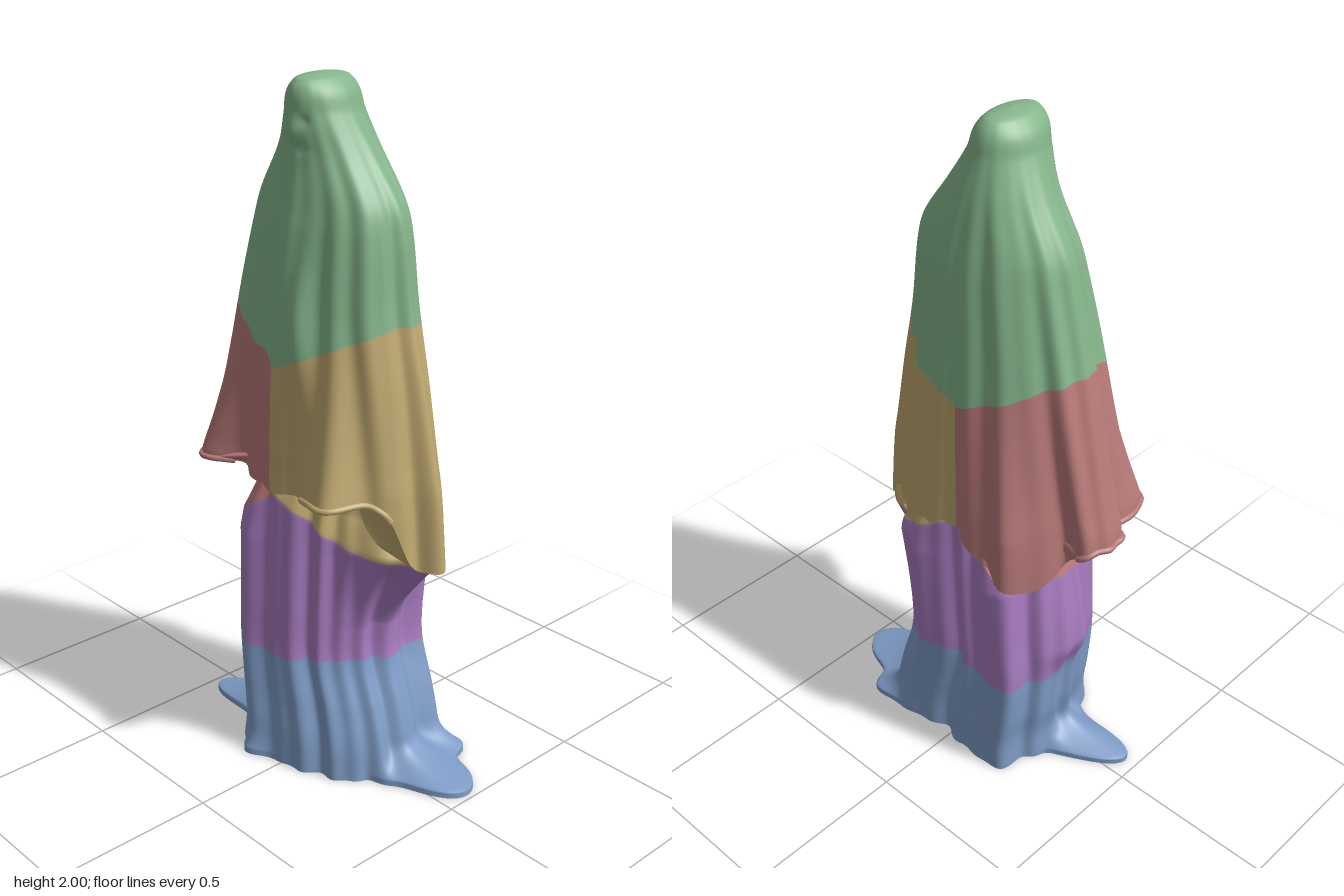
import * as THREE from 'three';

const { PI, sin, cos, exp, abs, min, max, hypot, atan2 } = Math;
const rad = (d) => d * PI / 180;
const clamp01 = (v) => min(1, max(0, v));

// Smooth interpolation through rows [key, v1, v2, ...] sorted by key
function keyed(rows, k, c = 1) {
  const n = rows.length - 1;
  if (k <= rows[0][0]) return rows[0][c];
  if (k >= rows[n][0]) return rows[n][c];
  let i = 0;
  while (k > rows[i + 1][0]) i++;
  const slope = (j) => {
    const p = rows[max(0, j - 1)], q = rows[min(n, j + 1)];
    return (q[c] - p[c]) / (q[0] - p[0]);
  };
  const a = rows[i], b = rows[i + 1], h = b[0] - a[0], t = (k - a[0]) / h;
  const t2 = t * t, t3 = t2 * t;
  return (2 * t3 - 3 * t2 + 1) * a[c] + (t3 - 2 * t2 + t) * h * slope(i)
    + (3 * t2 - 2 * t3) * b[c] + (t3 - t2) * h * slope(i + 1);
}

// Angular bump centred on c degrees, w wide
function bump(a, c, w) {
  const d = atan2(sin(a - rad(c)), cos(a - rad(c))) / rad(w);
  return exp(-d * d);
}
const blob = (x, y, w, h) => exp(-((x / w) ** 2) - ((y / h) ** 2));

// Extents of the cloth by height: y, right x, left x, back z, front z
const CLOAK = [
  [0.65, -0.46, 0.385, -0.24, 0.18], [0.9, -0.44, 0.365, -0.233, 0.178], [1.0, -0.415, 0.345, -0.229, 0.178],
  [1.2, -0.365, 0.305, -0.219, 0.176], [1.4, -0.315, 0.262, -0.203, 0.166], [1.6, -0.266, 0.235, -0.184, 0.142],
  [1.68, -0.242, 0.212, -0.17, 0.128], [1.8, -0.17, 0.13, -0.142, 0.112], [1.9, -0.12, 0.072, -0.113, 0.115],
  [1.95, -0.104, 0.054, -0.102, 0.114], [1.98, -0.08, 0.03, -0.084, 0.1], [1.993, -0.06, 0.008, -0.058, 0.075],
  [2.0, -0.028, -0.028, 0.005, 0.005],
];
const GOWN = [
  [0, -0.26, 0.28, -0.228, 0.195], [0.1, -0.26, 0.268, -0.228, 0.19], [0.2, -0.275, 0.24, -0.228, 0.182],
  [0.35, -0.28, 0.187, -0.229, 0.178], [0.5, -0.272, 0.185, -0.232, 0.178], [0.7, -0.267, 0.195, -0.232, 0.178],
  [0.86, -0.262, 0.205, -0.226, 0.178], [1.1, -0.25, 0.21, -0.205, 0.17],
];
const FOLD = [[0, 0.015], [0.6, 0.017], [1.2, 0.013], [1.6, 0.008], [1.85, 0.0015], [2, 0]];

// Lobes and hollows: centre, width in degrees, depth
const SLEEVE_LOBES = [
  [60, 13, 0.095], [78, 7, -0.015], [15, 7, -0.025], [133, 11, 0.075], [116, 8, -0.025],
  [155, 8, -0.015], [218, 14, -0.03], [243, 9, 0.035], [-40, 16, -0.03],
];
const GOWN_LOBES = [[-48, 19, 0.065], [229, 18, 0.065], [121, 17, 0.058], [45, 16, -0.015]];
const FLOOR_LOBES = [[-9, 18, 0.2], [-36, 14, 0.07], [171, 15, 0.21], [114, 14, 0.02]];
const lobes = (list, a) => list.reduce((sum, [c, w, d]) => sum + d * bump(a, c, w), 0);

// Hem of the cloak by angle in degrees
const HEM = [
  [-90, 0.84], [-60, 0.76], [-35, 0.71], [0, 0.69], [18, 0.72], [33, 0.88], [60, 0.9], [78, 0.875], [92, 0.86],
  [108, 0.86], [120, 0.88], [180, 0.885], [205, 0.87], [230, 0.74], [250, 0.76], [270, 0.84],
];
const hem = (a) => keyed(HEM, a * 180 / PI);
const shoulderSeam = (a) => 1.23 + 0.14 * abs(cos(a));
const gownSeam = (a) => 0.86 - 0.16 * abs(cos(a));
const skirtSeam = (a) => 0.35 + 0.01 * sin(3 * a);

// Hanging folds, shared by all layers
function folds(a, y) {
  return keyed(FOLD, y) * (0.5 * cos(7 * a + 1 + 0.7 * y) + 0.45 * cos(12 * a + 2.3 - 0.9 * y)
    + 0.35 * cos(19 * a + 0.5 + 0.6 * y)) + 0.022 * bump(a, 75, 8) * exp(-(((y - 1.35) / 0.16) ** 2));
}

// Elliptical section pushed outward by a rule
function section(table, a, y, push) {
  const [x0, x1, z0, z1] = [1, 2, 3, 4].map((c) => keyed(table, y, c));
  const rx = (x1 - x0) / 2, rz = (z1 - z0) / 2, c = cos(a), s = sin(a);
  const nx = c * rz, nz = s * rx, l = hypot(nx, nz) || 1;
  const p = push(rx * c, s);
  return new THREE.Vector3((x0 + x1) / 2 + rx * c + p * nx / l, y, (z0 + z1) / 2 + rz * s + p * nz / l);
}

function cloak(a, y) {
  return section(CLOAK, a, y, (dx, s) => {
    let p = folds(a, y) + clamp01((1.4 - y) / 0.5) ** 1.6 * lobes(SLEEVE_LOBES, a);
    // Face pressed through the cloth
    if (s > 0 && y > 1.7) {
      p += 0.01 * blob(dx, y - 1.86, 0.024, 0.032) - 0.005 * blob(dx, y - 1.815, 0.04, 0.015)
        - 0.005 * (blob(dx - 0.036, y - 1.885, 0.014, 0.016) + blob(dx + 0.036, y - 1.885, 0.014, 0.016));
    }
    return p;
  });
}

function gown(a, y) {
  return section(GOWN, a, y, () => {
    const spread = clamp01((0.11 - y) / 0.092) ** 2.5;
    // Swag below the left arm, slack below the right, full corners
    const swag = 0.165 * bump(a, -4, 25) * clamp01((y - 0.46) / 0.25) ** 1.3 * (1 - 0.6 * clamp01((y - 0.72) / 0.15));
    const slack = 0.05 * bump(a, 178, 24) * exp(-(((y - 0.45) / (y < 0.45 ? 0.08 : 0.25)) ** 2));
    const corners = lobes(GOWN_LOBES, a) * clamp01((0.95 - y) / 0.25);
    return folds(a, y) + swag + slack + corners + spread * lobes(FLOOR_LOBES, a)
      - 0.03 * clamp01((y - gownSeam(a)) / 0.1);
  });
}

// Grid over an angle range between two height rules, with normals from the surface itself
function drape(name, color, surface, from, to, low, high, cols, rows, ease = (t) => t) {
  const pos = [], nor = [], idx = [], e = 0.002;
  const a0 = rad(from), a1 = rad(to);
  for (let i = 0; i <= cols; i++) {
    const a = a0 + (a1 - a0) * i / cols, lo = low(a), hi = high(a);
    for (let j = 0; j <= rows; j++) {
      const y = lo + (hi - lo) * ease(j / rows);
      pos.push(...surface(a, y).toArray());
      const da = surface(a + e, y).sub(surface(a - e, y));
      const dy = surface(a, min(2, y + e)).sub(surface(a, max(0, y - e)));
      const n = y > 1.9995 ? new THREE.Vector3(0, 1, 0) : dy.cross(da).normalize();
      nor.push(...n.toArray());
      if (i < cols && j < rows) {
        const p = i * (rows + 1) + j, q = p + rows + 1;
        idx.push(p, p + 1, q, q, p + 1, q + 1);
      }
    }
  }
  const g = new THREE.BufferGeometry();
  g.setAttribute('position', new THREE.Float32BufferAttribute(pos, 3));
  g.setAttribute('normal', new THREE.Float32BufferAttribute(nor, 3));
  g.setIndex(idx);
  return named(name, g, color);
}

function named(name, geometry, color) {
  const m = new THREE.Mesh(geometry, new THREE.MeshStandardMaterial({ color, side: THREE.DoubleSide }));
  m.name = name;
  return m;
}

// Cloth turned under from the hem to the inner layer
function turnUnder(name, color, from, to) {
  const surface = (a, t) => cloak(a, hem(a)).lerp(gown(a, hem(a) + 0.04), t);
  return drape(name, color, surface, from, to, () => 0, () => 1, 90, 4);
}

// Rolled edge along an open sleeve
function hemRoll(name, color, from, to) {
  const pts = Array.from({ length: 33 }, (_, i) => {
    const a = rad(from + (to - from) * i / 32);
    return cloak(a, hem(a));
  });
  return named(name, new THREE.TubeGeometry(new THREE.CatmullRomCurve3(pts), 96, 0.009, 8), color);
}

export function createModel() {
  const GREEN = 0x84b48a, RED = 0xb87a78, YELLOW = 0xbfa870, PURPLE = 0xa87cc0, BLUE = 0x7f9cc6;
  const model = new THREE.Group();
  model.name = 'drapedFigure';

  // Hood and shoulders
  model.add(drape('hood', GREEN, cloak, -90, 270, shoulderSeam, () => 2, 240, 70, (t) => 1 - (1 - t) ** 2));

  // Sleeves with their linings, hems and the cloth behind them
  const sides = [['left', YELLOW, -90, 92, 30, 72], ['right', RED, 92, 270, 122, 208]];
  for (const [side, color, from, to, h0, h1] of sides) {
    model.add(drape(side + 'Sleeve', color, cloak, from, to, hem, shoulderSeam, 120, 36));
    model.add(drape(side + 'InnerCloth', color, gown, from, to, gownSeam, () => 0.94, 120, 12));
    model.add(turnUnder(side + 'SleeveLining', color, from, to));
    model.add(hemRoll(side + 'SleeveHem', color, h0, h1));
  }

  // Gown and skirt spreading on the floor
  model.add(drape('gown', PURPLE, gown, -90, 270, skirtSeam, gownSeam, 240, 30));
  model.add(drape('skirt', BLUE, gown, -90, 270, () => 0, skirtSeam, 240, 44, (t) => t * t));

  // Flat underside
  const outline = Array.from({ length: 240 }, (_, i) => {
    const p = gown(rad(-90 + i * 1.5), 0);
    return new THREE.Vector2(p.x, p.z);
  });
  model.add(named('underside', new THREE.ShapeGeometry(new THREE.Shape(outline)).rotateX(PI / 2), BLUE));
  return model;
}
